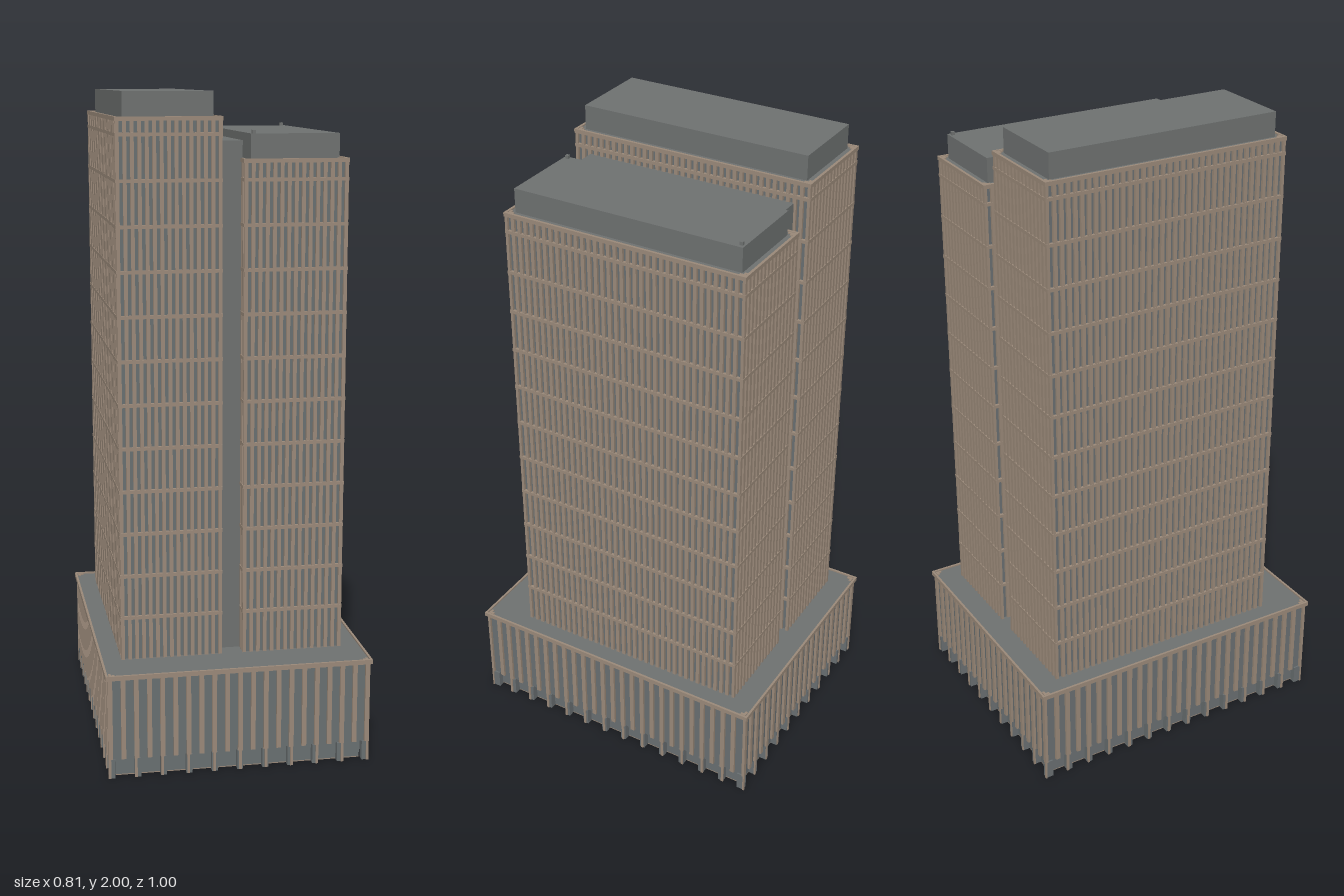
import * as THREE from 'three';
import { mergeGeometries } from 'three/addons/utils/BufferGeometryUtils.js';

export function createModel() {
  const mat = (name, color) => {
    const m = new THREE.MeshStandardMaterial({ color });
    m.name = name;
    return m;
  };
  const concrete = mat('grey roof', 0x6e7170);
  const glass = mat('grey glass', 0x696f71);
  const bronze = mat('bronze frame', 0x9a8979);

  const model = new THREE.Group();
  model.name = 'twinTowers';

  // Box given by its limits on each axis
  const box = (x0, x1, y0, y1, z0, z1) =>
    new THREE.BoxGeometry(x1 - x0, y1 - y0, z1 - z0)
      .translate((x0 + x1) / 2, (y0 + y1) / 2, (z0 + z1) / 2);

  const add = (parent, name, geos, material) => {
    const mesh = new THREE.Mesh(mergeGeometries([].concat(geos)), material);
    mesh.name = name;
    parent.add(mesh);
  };

  // Four bars forming a rectangular ring, r = [x0, x1, z0, z1] outer limits
  const ring = ([x0, x1, z0, z1], y0, y1, t) => [
    box(x0, x1, y0, y1, z0, z0 + t), box(x0, x1, y0, y1, z1 - t, z1),
    box(x0, x0 + t, y0, y1, z0 + t, z1 - t), box(x1 - t, x1, y0, y1, z0 + t, z1 - t),
  ];

  // Evenly spaced upright fins on all four faces, w wide and d deep
  const fins = ([x0, x1, z0, z1], y0, y1, nx, nz, w, d) => {
    const out = [];
    for (let i = 0; i <= nx; i++) {
      const x = x0 + (x1 - x0 - w) * i / nx;
      out.push(box(x, x + w, y0, y1, z0, z0 + d), box(x, x + w, y0, y1, z1 - d, z1));
    }
    // The corner posts already have a face on each side
    for (let i = 1; i < nz; i++) {
      const z = z0 + (z1 - z0 - w) * i / nz;
      out.push(box(x0, x0 + d, y0, y1, z, z + w), box(x1 - d, x1, y0, y1, z, z + w));
    }
    return out;
  };

  // Small L-shaped brackets on the roof corners
  const corners = ([x0, x1, z0, z1], y, inset, len, t) => {
    const out = [];
    for (const sx of [-1, 1]) for (const sz of [-1, 1]) {
      const x = (sx < 0 ? x0 : x1) - sx * inset, z = (sz < 0 ? z0 : z1) - sz * inset;
      const span = (a, s, l) => [Math.min(a, a - s * l), Math.max(a, a - s * l)];
      const [xa, xb] = span(x, sx, len), [xc, xd] = span(x, sx, t);
      const [za, zb] = span(z, sz, t), [zc, zd] = span(z - sz * t, sz, len - t);
      out.push(box(xa, xb, y, y + 0.003, za, zb), box(xc, xd, y, y + 0.003, zc, zd));
    }
    return out;
  };

  const inset = ([x0, x1, z0, z1], d) => [x0 + d, x1 - d, z0 + d, z1 - d];
  const block = ([x0, x1, z0, z1], y0, y1) => box(x0, x1, y0, y1, z0, z1);

  // Podium: recessed ground floor, finned upper floors, legs under every second fin
  const podium = new THREE.Group();
  podium.name = 'podium';
  model.add(podium);
  const outer = [-0.404, 0.404, -0.5, 0.5];
  const face = inset(outer, 0.006);
  add(podium, 'groundFloor', block(inset(outer, 0.03), 0.003, 0.065), glass);
  add(podium, 'baseSlab', block(inset(outer, 0.03), 0, 0.003), bronze);
  add(podium, 'podiumWalls', block(inset(face, 0.008), 0.06, 0.308), glass);
  add(podium, 'podiumRoof', block(inset(outer, 0.006), 0.308, 0.319), concrete);
  add(podium, 'podiumFins', fins(face, 0.06, 0.312, 20, 26, 0.014, 0.009), bronze);
  add(podium, 'legs', fins(inset(face, 0.003), 0, 0.06, 10, 13, 0.018, 0.024), glass);
  add(podium, 'legFacings', fins(face, 0, 0.06, 10, 13, 0.008, 0.005), bronze);
  add(podium, 'podiumRim', ring(outer, 0.31, 0.324, 0.007), bronze);
  add(podium, 'podiumCorners', corners(outer, 0.319, 0.01, 0.018, 0.008), bronze);

  // Tower: glass core, close fins, floor bands, rim and rooftop block
  const tower = (name, x0, x1, top, roofTop) => {
    const g = new THREE.Group();
    g.name = name;
    model.add(g);
    const rim = [x0, x1, -0.422, 0.36];
    const skin = inset(rim, 0.002);
    add(g, 'glassCore', block(inset(skin, 0.008), 0.315, top - 0.012), glass);
    add(g, 'roof', block(inset(rim, 0.006), top - 0.012, top - 0.004), concrete);
    add(g, 'fins', fins(skin, 0.319, top - 0.006, 14, 36, 0.011, 0.009), bronze);
    const bands = [];
    for (let y = 0.45; y < top - 0.03; y += 0.13) {
      bands.push(...ring(inset(rim, 0.001), y - 0.005, y + 0.005, 0.01));
    }
    add(g, 'floorBands', bands, bronze);
    add(g, 'rim', ring(rim, top - 0.012, top, 0.008), bronze);
    add(g, 'roofCorners', corners(rim, top - 0.004, 0.009, 0.018, 0.008), bronze);
    add(g, 'rooftopBlock', block(inset(rim, 0.025), top - 0.006, roofTop), concrete);
  };
  tower('tallTower', -0.342, -0.03, 1.93, 2.0);
  tower('shortTower', 0.03, 0.342, 1.81, 1.88);

  // Link between the towers
  add(model, 'link', box(-0.036, 0.036, 0.315, 1.86, -0.37, 0.307), concrete);

  // Small vents on the lower rooftop
  add(model, 'vents', [[0.065, 0.322], [0.302, -0.386]].map(([x, z]) =>
    box(x - 0.005, x + 0.005, 1.875, 1.89, z - 0.005, z + 0.005)), concrete);

  return model;
}
